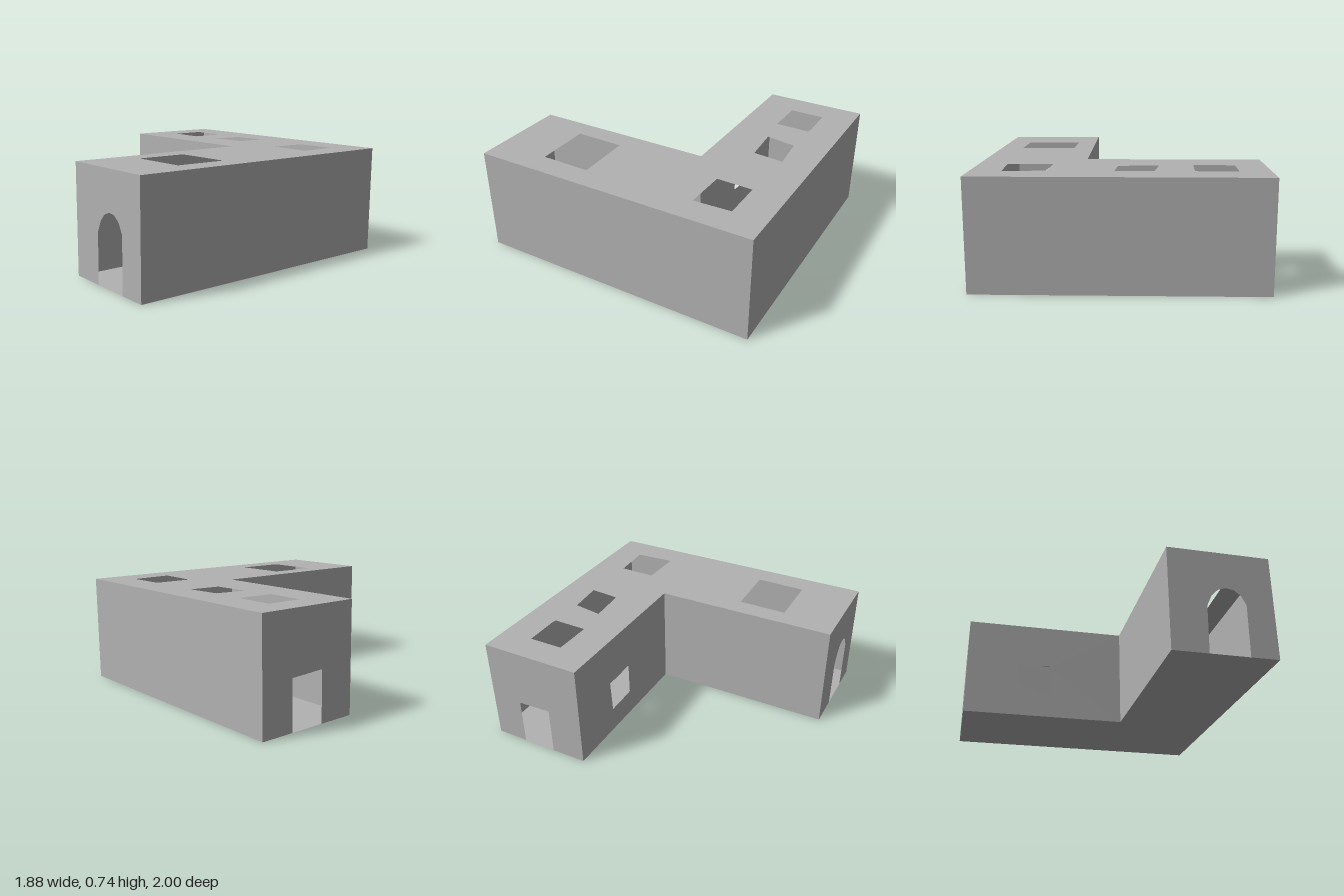
import * as THREE from 'three';

const H = 0.735;

// L-shaped plan as [x, z], walked so that every wall's normal points outwards
const plan = [[-0.94, -0.287], [0.238, -0.287], [0.238, 1], [0.938, 1], [0.938, -1], [-0.94, -1]];

// Roof openings as [x, z]
const skylights = [
  [[-0.739, -0.776], [-0.5, -0.778], [-0.464, -0.77], [-0.47, -0.53], [-0.739, -0.535]],
  [[-0.214, -0.765], [0.037, -0.786], [0.018, -0.575], [-0.248, -0.557]],
  [[0.456, -0.778], [0.736, -0.791], [0.749, -0.509], [0.448, -0.517]],
  [[0.383, 0.274], [0.776, 0.264], [0.77, 0.612], [0.377, 0.617]],
];

// Wall openings: [distance along the wall, height]; doors cut the bottom edge
const windowHole = [[0.385, 0.408], [0.49, 0.404], [0.62, 0.414], [0.631, 0.408],
  [0.631, 0.186], [0.618, 0.18], [0.4, 0.175]];
const archDoor = [[0.242, 0], [0.25, 0.335], [0.284, 0.41], [0.328, 0.455], [0.382, 0.474],
  [0.434, 0.466], [0.48, 0.43], [0.514, 0.365], [0.51, 0]];
const sideDoor = [[0.225, 0], [0.225, 0.33], [0.465, 0.34], [0.465, 0]];

const walls = [
  { name: 'wingFrontWall', holes: [windowHole] },
  { name: 'courtyardWall' },
  { name: 'entranceWall', door: archDoor },
  { name: 'longSideWall' },
  { name: 'backWall' },
  { name: 'wingEndWall', door: sideDoor },
];

const toVectors = (points) => points.map(([x, y]) => new THREE.Vector2(x, y));

export function createModel() {
  const group = new THREE.Group();
  const grey = new THREE.MeshStandardMaterial({ color: 0xb2b2b2, side: THREE.DoubleSide });
  grey.name = 'plain grey';

  // Flat sheet with openings
  const panel = (name, outline, holes = []) => {
    const shape = new THREE.Shape(toVectors(outline));
    holes.forEach((hole) => shape.holes.push(new THREE.Path(toVectors(hole))));
    const mesh = new THREE.Mesh(new THREE.ShapeGeometry(shape), grey);
    mesh.name = name;
    group.add(mesh);
    return mesh;
  };

  // Walls, one per side of the plan
  walls.forEach(({ name, door = [], holes }, i) => {
    const [ax, az] = plan[i];
    const [bx, bz] = plan[(i + 1) % plan.length];
    const length = Math.hypot(bx - ax, bz - az);
    const wall = panel(name, [[0, 0], ...door, [length, 0], [length, H], [0, H]], holes);
    wall.position.set(ax, 0, az);
    wall.rotation.y = Math.atan2(az - bz, bx - ax);
  });

  // Roof with skylights
  const flip = (points) => points.map(([x, z]) => [x, -z]);
  const roof = panel('roof', flip(plan), skylights.map(flip));
  roof.rotation.x = -Math.PI / 2;
  roof.position.y = H;

  // Closed floor
  panel('floor', plan).rotation.x = Math.PI / 2;

  return group;
}
